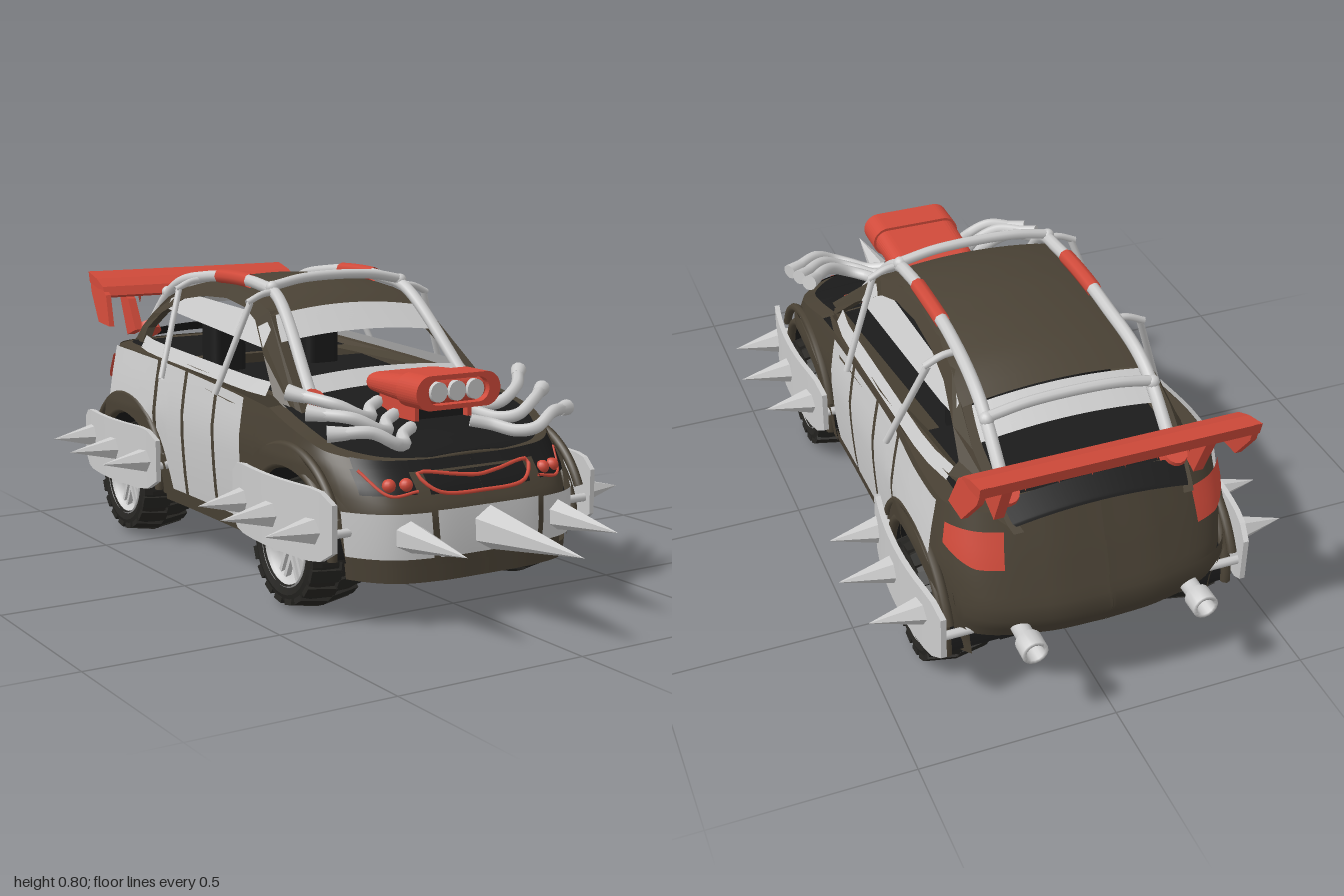
import * as THREE from 'three';
import { RoundedBoxGeometry } from 'three/addons/geometries/RoundedBoxGeometry.js';

const mat = (color, flatShading = false) =>
  new THREE.MeshStandardMaterial({ color, flatShading, side: THREE.DoubleSide });
const V = (x, y, z) => new THREE.Vector3(x, y, z);
const V2 = p => new THREE.Vector2(...p);
const clamp = THREE.MathUtils.clamp;

// Linear lookup in a table of [key, value], keys ascending
function at(table, k) {
  if (k <= table[0][0]) return table[0][1];
  for (let i = 1; i < table.length; i++) {
    const [a, u] = table[i - 1], [b, v] = table[i];
    if (k <= b) return u + (v - u) * (k - a) / (b - a);
  }
  return table[table.length - 1][1];
}

// Grid surface from fn(i, j) -> [x, y, z]
function surf(fn, nu, nv) {
  const pos = [], idx = [];
  for (let i = 0; i <= nu; i++) for (let j = 0; j <= nv; j++) pos.push(...fn(i, j));
  for (let i = 0; i < nu; i++) for (let j = 0; j < nv; j++) {
    const a = i * (nv + 1) + j, b = a + nv + 1;
    idx.push(a, b, a + 1, b, b + 1, a + 1);
  }
  const g = new THREE.BufferGeometry();
  g.setAttribute('position', new THREE.Float32BufferAttribute(pos, 3));
  g.setIndex(idx);
  g.computeVertexNormals();
  return g;
}

// Extrude a (z, y) outline along x, outer face at x
function extrudeX(pts, width, x, hole) {
  const shape = new THREE.Shape(pts.map(V2));
  if (hole) shape.holes.push(new THREE.Path(hole.map(V2)));
  return new THREE.ExtrudeGeometry(shape, { depth: width, bevelEnabled: false }).rotateY(-Math.PI / 2).translate(x, 0, 0);
}
const tube = (pts, r, closed = false) =>
  new THREE.TubeGeometry(new THREE.CatmullRomCurve3(pts, closed, 'centripetal'), 40, r, 8, closed);
const box = (w, h, d, x, y, z) => new THREE.BoxGeometry(w, h, d).translate(x, y, z);
function warp(g, fn) {
  const p = g.attributes.position;
  for (let i = 0; i < p.count; i++) p.setXYZ(i, ...fn(p.getX(i), p.getY(i), p.getZ(i)));
  g.computeVertexNormals();
  return g;
}

// Body rules: plan outline, height profile, belt line, arches
const WHEELS = [0.315, -0.625];
const plan = new THREE.CatmullRomCurve3([[0, .635], [.15, .63], [.26, .6], [.33, .52], [.362, .4], [.37, .3], [.36, .1],
  [.355, -.1], [.355, -.4], [.37, -.62], [.355, -.78], [.3, -.88], [.15, -.93], [0, -.94]].map(([x, z]) => V(x, 0, z))).getSpacedPoints(240);
const rim = plan.map((p, i) => {
  const a = plan[Math.max(i - 1, 0)], b = plan[Math.min(i + 1, 240)];
  const l = Math.hypot(b.x - a.x, b.z - a.z);
  return { x: p.x, z: p.z, nx: -(b.z - a.z) / l, nz: (b.x - a.x) / l };
});
const prof = y => at([[.1, .93], [.25, .98], [.38, 1], [.46, .97], [.54, .93]], y);
const lean = (y, z) => z > 0
  ? at([[.27, 0], [.33, -.03], [.42, -.11]], y) * THREE.MathUtils.smoothstep(z, .3, .63)
  : at([[.2, .05], [.3, 0], [.44, .05], [.54, .09]], y) * THREE.MathUtils.smoothstep(-z, .68, .93);
const top = z => at([[-.8, .54], [-.6, .535], [0, .495], [.2, .48], [.3, .455], [.5, .41], [.635, .385]], z);
const arch = (z, r) => Math.max(...WHEELS.map(c => Math.abs(z - c) < r ? .16 + Math.sqrt(r * r - (z - c) ** 2) : 0));
const bottom = z => Math.max(arch(z, .195), at([[-.92, .21], [-.85, .2], [-.82, .15], [.1, .14], [.45, .14], [.5, .11]], z));
const skin = (p, y, off = 0) => [p.x * prof(y) + p.nx * off, y, p.z + lean(y, p.z) + p.nz * off];
const onNose = (x, y, off) => {
  const p = rim.reduce((a, b) => b.z > .4 && Math.abs(b.x - Math.abs(x)) < Math.abs(a.x - Math.abs(x)) ? b : a, rim[0]);
  return V(x, y, skin(p, y, off)[2]);
};

// Cabin rules: roof edge line and side slope
const EDGE = [[-.86, .53], [-.78, .58], [-.69, .63], [-.6, .685], [-.5, .722], [-.38, .74], [-.25, .745], [-.12, .73], [0, .7], [.27, .47]];
const sideX = (y, z) => .345 - (y - .5) * .52 - .06 * Math.max(0, z / .27) ** 2 - .1 * Math.max(0, (-z - .5) / .36) ** 2;

export function createModel() {
  const car = new THREE.Group();
  car.name = 'armouredCar';
  const brown = mat(0x4a4235), black = mat(0x1b1b1b), red = mat(0xd04a3a), grey = mat(0xcccccc), steel = mat(0xcccccc, true);
  const rubber = mat(0x262522, true);

  const add = (name, geo, m, parent = car) => {
    const mesh = new THREE.Mesh(geo, m);
    mesh.name = name;
    parent.add(mesh);
    return mesh;
  };
  const pair = (name, geo, m) => {
    add(name + 'Left', geo, m);
    add(name + 'Right', geo, m).scale.x = -1;
  };
  // Strip of body skin over the selected outline points
  const patch = (name, pick, y0, y1, off, m, rows = 6) => {
    const s = rim.filter(pick);
    pair(name, surf((i, j) => {
      const lo = y0(s[i].z), hi = y1(s[i].z);
      return skin(s[i], lo + (hi - lo) * j / rows, off);
    }, s.length - 1, rows), m);
  };
  // Horizontal surface between both sides of the outline
  const deck = (name, z0, z1, width, y, crown, m) => {
    const s = rim.filter(p => p.z >= z0 && p.z <= z1);
    add(name, surf((i, j) => {
      const k = (j / 6 - 1) * width, h = y(s[i].z), q = skin(s[i], h);
      return [k * q[0], h + crown * (1 - k * k) * Math.min(1, s[i].x / .3), q[2]];
    }, s.length - 1, 12), m);
  };
  const roof = (name, z0, z1, width, lift, crown, m) => add(name, surf((i, j) => {
    const z = z0 + (z1 - z0) * i / 16, y = at(EDGE, z), s = (j / 8 - 1) * width;
    return [s * sideX(y, z), y + crown * (1 - s * s) + lift, z];
  }, 16, 16), m);
  const flat = y => () => y;

  // Lower body, hood, decks, floor
  patch('bodySide', () => true, bottom, top, 0, brown, 12);
  deck('hoodFrame', .18, 1, 1, top, .02, brown);
  deck('hood', .18, .64, .9, z => top(z) + .004, .02, black);
  patch('hoodLip', p => p.z > .4 && p.x < .3, flat(.365), z => top(z) + .003, .004, black, 3);
  deck('cabinDeck', -.46, .2, .99, z => top(z) - .03, 0, black);
  deck('rearDeck', -1, -.45, 1, z => top(z) - .003, 0, brown);
  deck('parcelShelf', -.84, -.45, .88, z => top(z) + .002, 0, black);
  deck('frontUnderside', .5, 1, 1, flat(.115), 0, black);
  deck('rearUnderside', -1, -.81, 1, flat(.205), 0, black);
  add('floorSpine', box(.44, .17, 1.36, 0, .215, -.12), black);
  add('floorPan', box(.66, .1, .56, 0, .19, -.155), black);
  patch('frontLip', p => p.z > .5, flat(.11), flat(.15), .012, brown, 2);
  patch('rearBumper', p => p.z < -.84, flat(.225), flat(.33), .012, brown, 3);
  patch('sill', p => p.z < .1 && p.z > -.42, flat(.13), flat(.17), .01, brown, 2);
  for (const z of WHEELS) {
    pair('wheelWell', new THREE.CylinderGeometry(.2, .2, .16, 24, 1, true, 0, Math.PI).rotateZ(Math.PI / 2).translate(.28, .16, z), black);
    pair('archLip', new THREE.TorusGeometry(.203, .013, 8, 28, Math.PI).rotateY(Math.PI / 2).translate(.366, .16, z), brown);
    patch('archFlare', p => p.x > .3 && Math.abs(p.z - z) < .245, s => Math.max(.15, arch(s, .2)), s => arch(s, .25), .018, brown);
    pair('archEdge', new THREE.TorusGeometry(.245, .012, 8, 28, Math.PI * .72).rotateZ(Math.PI * .14).rotateY(Math.PI / 2).translate(.366, .16, z), brown);
  }
  // Door plates
  const doorBottom = z => Math.min(Math.max(.17, arch(z, .255)), top(z));
  for (const [a, b] of [[.07, -.09], [-.1, -.27], [-.28, -.44], [-.45, -.74]])
    patch('doorPlate', p => p.z < a && p.z > b, doorBottom, top, .012, grey);

  // Nose and tail details
  patch('headlight', p => p.z > .4 && p.x > .18 && p.x < .305, flat(.318), flat(.375), .006, black, 4);
  patch('grille', p => p.z > .4 && p.x < .15, flat(.315), flat(.36), .005, black, 4);
  for (const x of [.205, .245]) {
    const p = onNose(x, .34, .006);
    pair('headlamp', new THREE.SphereGeometry(.017, 14, 10).translate(p.x, p.y, p.z), red);
  }
  pair('headlightTrim', tube([[.18, .325], [.25, .318], [.295, .372]].map(([x, y]) => onNose(x, y, .008)), .004), red);
  add('grilleTrim', tube([[-.165, .362], [-.06, .352], [0, .346], [.06, .352], [.165, .362], [.13, .322], [0, .312], [-.13, .322]]
    .map(([x, y]) => onNose(x, y, .008)), .005, true), red);
  patch('tailLight', p => p.z < -.79 && p.x > .24, z => at([[-.88, .42], [-.79, .455]], z), flat(.505), .014, red);
  patch('tailPanel', p => p.z < -.8 && p.x < .14, flat(.37), flat(.45), .008, brown);
  pair('tailPipe', new THREE.LatheGeometry([[.022, 0], [.022, .05], [.032, .055], [.032, .1], [.022, .1], [.02, .03]]
    .map(V2), 16).rotateX(-Math.PI / 2).translate(.215, .265, -.9), grey);

  // Cabin
  const frame = extrudeX([[-.88, .52], ...EDGE, [.27, .45], [0, .47], [-.6, .52]], .025, 0,
    [[.16, .505], [.06, .595], [-.05, .672], [-.13, .698], [-.25, .712], [-.38, .707], [-.49, .69], [-.6, .64], [-.67, .59], [-.66, .55], [-.25, .525]]);
  pair('cabinSide', warp(frame, (x, y, z) => [x + sideX(y, z), y, z]), brown);
  roof('roof', -.6, .015, 1, 0, .024, brown);
  roof('rearWindow', -.87, -.81, .95, 0, .02, black);
  roof('windscreenPlate', .005, .085, .94, -.003, .022, steel);
  roof('windscreenLowerPlate', .18, .225, .94, -.006, .02, steel);
  roof('rearWindowPlate', -.68, -.6, .94, -.004, .022, steel);
  for (const [a0, a1, b0, b1, z0, z1] of [[.61, .685, .655, .71, .04, -.58], [.5, .535, .535, .57, .13, -.66]])
    pair('windowPlate', surf((i, j) => {
      const t = i / 10, z = z0 + (z1 - z0) * t, lo = a0 + (b0 - a0) * t, hi = a1 + (b1 - a1) * t;
      const y = Math.min(lo + (hi - lo) * j, at(EDGE, z) - .01);
      return [sideX(y, z) - .004, y, z];
    }, 10, 1), grey);
  pair('seatBack', new RoundedBoxGeometry(.11, .18, .09, 2, .025).translate(.155, .55, -.42), black);

  // Roll cage
  const rail = new THREE.CatmullRomCurve3([V(.245, .49, .23), V(.205, .735, -.02), V(.2, .757, -.12), V(.2, .765, -.25),
    V(.2, .757, -.42), V(.207, .715, -.62), V(.21, .56, -.81)], false, 'centripetal');
  pair('cageRail', new THREE.TubeGeometry(rail, 60, .016, 10), grey);
  pair('cageSleeve', tube(rail.getPoints(100).filter(p => p.z < -.17 && p.z > -.36), .02), red);
  for (const z of [-.05, -.67]) {
    const p = rail.getPoints(200).reduce((a, b) => Math.abs(b.z - z) < Math.abs(a.z - z) ? b : a);
    add('cageCrossbar', tube([V(-p.x, p.y + .012, z), V(-.1, p.y + .03, z), V(.1, p.y + .03, z), V(p.x, p.y + .012, z)], .013), grey);
    pair('cageJoint', new THREE.SphereGeometry(.018, 12, 10).translate(p.x, p.y + .008, z), grey);
  }
  for (const [x, y, z, tilt] of [[.245, .495, .23, .7], [.21, .572, -.8, -.6]])
    pair('cageFoot', new THREE.CylinderGeometry(.028, .034, .03, 14).rotateX(tilt).translate(x, y, z), red);
  for (const [z0, z1] of [[-.04, -.075], [-.46, -.4]]) {
    pair('windowBar', tube([V(.275, .72, z0), V(.32, .6, (z0 + z1) / 2), V(.365, .48, z1)], .009), grey);
    pair('windowBarArm', tube([V(.2, .745, z0), V(.24, .74, z0), V(.285, .72, z0)], .009), grey);
  }

  // Intake tapering to the rear, with a framed mouth and three ports
  const taper = z => at([[-.13, .6], [.12, 1]], z);
  add('intake', warp(new RoundedBoxGeometry(.24, .08, .25, 4, .036), (x, y, z) =>
    [x * at([[-.13, .95], [.05, 1]], z), y * taper(z) + .538, z + .375]), red);
  const mouth = (w, h) => {
    const s = new THREE.Shape().absarc(w - h, 0, h, -Math.PI / 2, Math.PI / 2);
    return s.absarc(h - w, 0, h, Math.PI / 2, Math.PI * 1.5);
  };
  const mouthShape = mouth(.126, .043);
  mouthShape.holes.push(mouth(.092, .031));
  add('intakeMouth', new THREE.ExtrudeGeometry(mouthShape, { depth: .09, bevelEnabled: false, curveSegments: 10 }).translate(0, .538, .425), red);
  pair('intakeBase', box(.012, .05, .16, .08, .485, .37), red);
  add('intakeCore', box(.15, .05, .14, 0, .485, .36), black);
  for (const x of [-.055, 0, .055])
    add('intakePort', new THREE.CylinderGeometry(.025, .025, .02, 20).rotateX(Math.PI / 2).translate(x, .538, .5), grey);
  // Swept header pipes
  for (let i = 0; i < 3; i++) {
    const z = .33 + i * .075, y = .5 - i * .022;
    const bend = V(.27, y + .008, z + .06), end = V(.34, y + .03 - i * .012, z - .02 + i * .02);
    pair('headerPipe', tube([V(.09, y - .01, z - .04), V(.135, y - .02, z - .01), V(.17, y - .03, z + .05), V(.21, y - .022, z + .075), bend, end], .016), grey);
    const flare = new THREE.CylinderGeometry(.021, .016, .05, 12);
    flare.applyQuaternion(new THREE.Quaternion().setFromUnitVectors(V(0, 1, 0), end.clone().sub(bend).normalize()));
    pair('headerTip', flare.translate(end.x, end.y, end.z), grey);
  }

  // Spiked armour
  const spike = (r, len) => new THREE.ConeGeometry(r, len, 6).translate(0, len / 2, 0);
  patch('noseArmour', p => p.z > .4 && p.x < .15, flat(.17), flat(.283), .02, grey, 2);
  patch('noseCornerArmour', p => p.z > .4 && p.x > .165 && p.x < .335, flat(.17), flat(.28), .02, grey, 2);
  add('noseSpike', spike(.055, .355).rotateX(Math.PI / 2).translate(0, .225, .645), steel);
  pair('noseSideSpike', spike(.04, .235).rotateX(Math.PI / 2).translate(.22, .225, .625), steel);
  for (const [zc, y, spikes] of [[.32, .25, [.49, .32, .155]], [-.625, .25, [-.44, -.605, -.775]]]) {
    const half = .245, bow = z => .418 - .03 * (z / half) ** 2;
    const plate = warp(new THREE.BoxGeometry(.014, .178, 2 * half, 1, 1, 12), (x, h, z) =>
      [x + bow(z), h * (1 - .35 * clamp((Math.abs(z) / half - .8) / .2, 0, 1)) + y, z + zc]);
    pair('sideArmour', plate, steel);
    spikes.forEach((z, i) => {
      const sy = zc > 0 ? .236 + Math.min(i, 1) * .008 : .245 + i * .01;
      pair('sideSpike', spike(.036, i === 1 ? .142 : .132).rotateZ(-Math.PI / 2).translate(bow(z - zc), sy, z), steel);
    });
    for (const s of [-.88, .88])
      pair('armourRod', new THREE.CylinderGeometry(.011, .011, .09, 8).rotateZ(Math.PI / 2).translate(.35, y - .02, zc + s * half), grey);
  }

  // Rear wing
  add('wingBlade', extrudeX([[-.84, .672], [-.855, .698], [-.9, .72], [-.96, .737], [-.952, .705], [-.89, .69], [-.85, .665]], .67, .335), red);
  pair('wingEnd', warp(extrudeX([[-.79, .585], [-.83, .675], [-.96, .738], [-.94, .68], [-.87, .592]], .016, .338),
    (x, y, z) => [x + (.66 - y) * .1, y, z]), red);
  pair('wingLeg', extrudeX([[-.79, .57], [-.84, .66], [-.91, .69], [-.85, .55]], .025, .26), red);
  for (const x of [.04, .12, .2])
    pair('wingFin', new THREE.ConeGeometry(.012, .05, 4).rotateX(Math.PI).translate(x, .665, -.885), red);

  // Wheels
  const lathe = (pts, n) => new THREE.LatheGeometry(pts.map(V2), n).rotateZ(-Math.PI / 2);
  const tyreGeo = lathe([[.1, -.07], [.125, -.078], [.143, -.072], [.15, -.05], [.153, 0], [.15, .05], [.143, .072], [.125, .078], [.1, .07]], 32);
  const rimGeo = lathe([[.106, -.07], [.092, -.055], [.09, .04], [.098, .06], [.108, .072], [.104, .076]], 32);
  for (const side of [1, -1]) for (const z of WHEELS) {
    const w = new THREE.Group();
    w.name = (z > 0 ? 'front' : 'rear') + 'Wheel' + (side > 0 ? 'Left' : 'Right');
    w.position.set(.31 * side, .16, z);
    w.scale.x = side;
    add('tyre', tyreGeo, rubber, w);
    add('rim', rimGeo, grey, w);
    add('hub', lathe([[0, .06], [.02, .058], [.026, .045], [.026, -.03], [0, -.03]], 16), grey, w);
    add('brakeDisc', new THREE.CylinderGeometry(.068, .068, .012, 24).rotateZ(Math.PI / 2), black, w);
    for (let i = 0; i < 7; i++) for (const s of [-.012, .012])
      add('spoke', box(.014, .08, .011, .046, .056, s).rotateX(i * Math.PI * 2 / 7), grey, w);
    for (let i = 0; i < 36; i++) {
      const s = i % 2 ? 1 : -1;
      add('treadBlock', new THREE.BoxGeometry(.08, .018, .034).rotateZ(-s * .16).translate(s * .036, .147, 0).rotateX(i * Math.PI / 18), rubber, w);
    }
    car.add(w);
  }
  return car;
}
